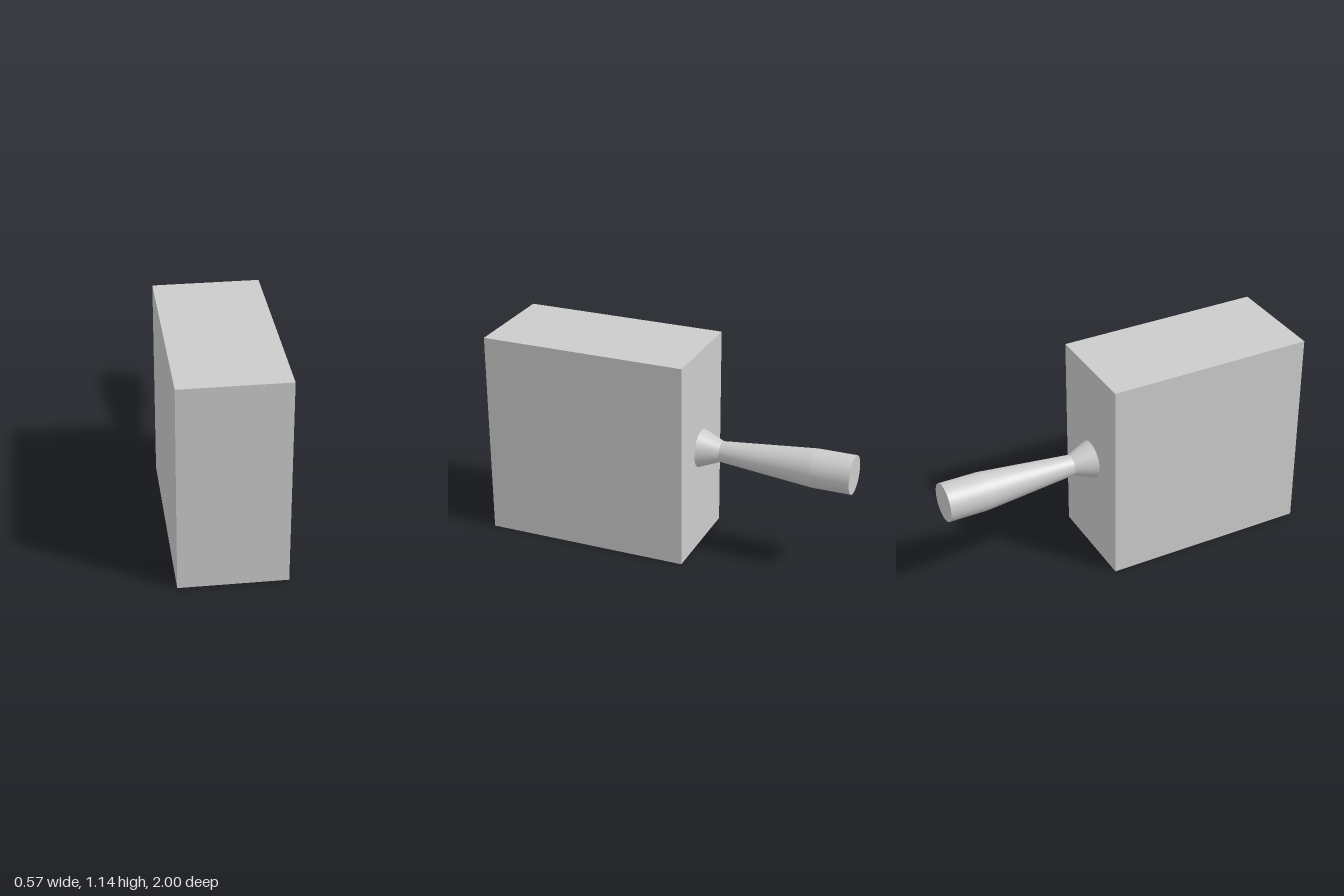
import * as THREE from 'three';

const material = new THREE.MeshStandardMaterial({ color: 0xcccccc });

function addMesh(parent, name, geometry) {
  const mesh = new THREE.Mesh(geometry, material);
  mesh.name = name;
  parent.add(mesh);
  return mesh;
}

export function createModel() {
  const model = new THREE.Group();
  model.name = 'blockWithHandle';

  // Solid rectangular block
  const height = 1.143, backZ = -0.143;
  const block = addMesh(model, 'block', new THREE.BoxGeometry(0.571, height, 1 - backZ));
  block.position.set(0, height / 2, (1 + backZ) / 2);

  // Round handle running backwards: flared collar, tapered neck, straight grip
  const handle = new THREE.Group();
  handle.name = 'handle';
  handle.position.y = 0.573;
  model.add(handle);

  const sections = [
    // name, start z, end z, start radius, end radius
    ['handleCollar', backZ, -0.263, 0.105, 0.057],
    ['handleNeck', -0.263, -0.785, 0.057, 0.105],
    ['handleGrip', -0.785, -1, 0.105, 0.105],
  ];
  for (const [name, z0, z1, r0, r1] of sections) {
    const geometry = new THREE.CylinderGeometry(r1, r0, z0 - z1, 64, 1, true);
    geometry.rotateX(-Math.PI / 2);
    addMesh(handle, name, geometry).position.z = (z0 + z1) / 2;
  }

  // Flat end of the grip, facing back
  const cap = addMesh(handle, 'handleEnd', new THREE.CircleGeometry(0.105, 64));
  cap.rotation.y = Math.PI;
  cap.position.z = -1;

  return model;
}
